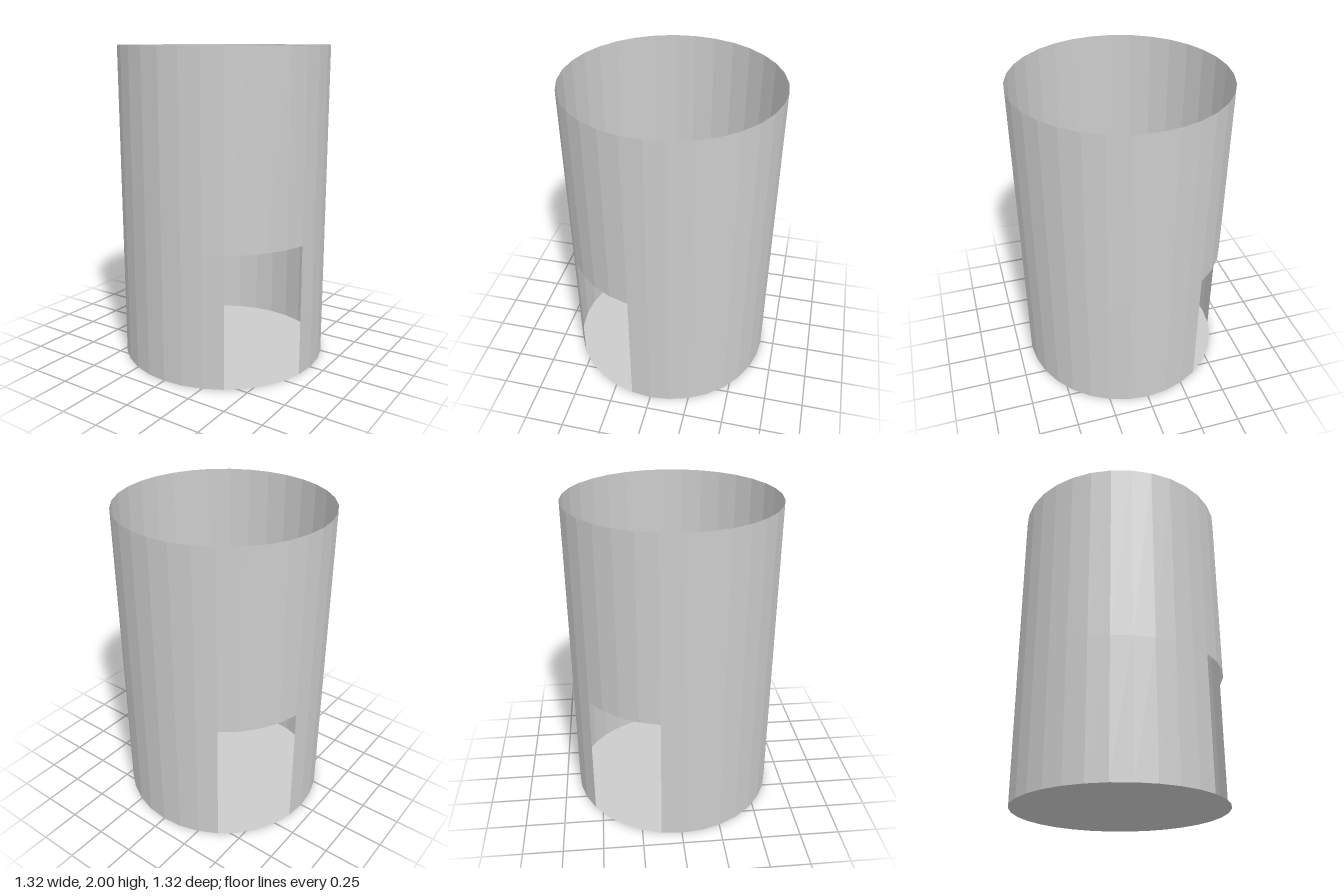
import * as THREE from 'three';

const RADIUS = 0.66, HEIGHT = 2, DOOR_HEIGHT = 0.835, SIDES = 32;
const STEP = (Math.PI * 2) / SIDES;

export function createModel() {
  const group = new THREE.Group();
  const material = new THREE.MeshStandardMaterial({
    color: 0xcccccc, flatShading: true, side: THREE.DoubleSide,
  });

  // Open strip of wall covering `count` facets, starting at facet `first`
  function addWall(name, y0, y1, first, count) {
    const geometry = new THREE.CylinderGeometry(
      RADIUS, RADIUS, y1 - y0, count, 1, true, first * STEP, count * STEP);
    const wall = new THREE.Mesh(geometry, material);
    wall.name = name;
    wall.position.y = (y0 + y1) / 2;
    group.add(wall);
  }

  // Full ring above the doorways
  addWall('upperWall', DOOR_HEIGHT, HEIGHT, 0, SIDES);

  // Two lower walls, leaving opposite doorways four facets wide
  addWall('lowerWallRear', 0, DOOR_HEIGHT, 7, 12);
  addWall('lowerWallFront', 0, DOOR_HEIGHT, 23, 12);

  // Floor disc; the top stays open
  const floor = new THREE.Mesh(new THREE.CircleGeometry(RADIUS, SIDES), material);
  floor.name = 'floor';
  floor.rotation.x = -Math.PI / 2;
  group.add(floor);

  return group;
}
